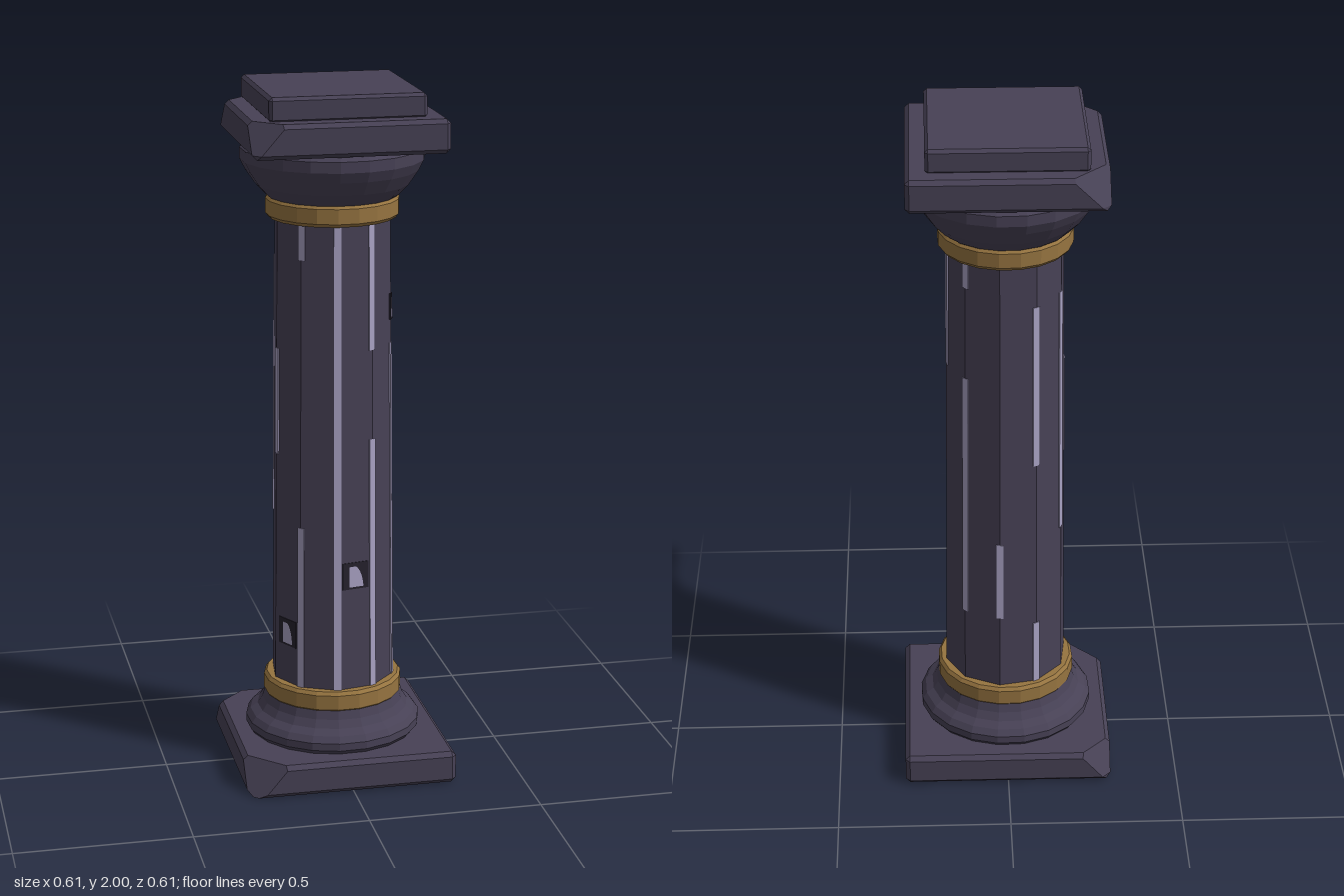
import * as THREE from 'three';
import { ConvexGeometry } from 'three/addons/geometries/ConvexGeometry.js';

const rad = THREE.MathUtils.degToRad;

function material(name, color, side = THREE.FrontSide) {
  const m = new THREE.MeshStandardMaterial({ color, side });
  m.name = name;
  return m;
}

// Faceted ring-shaped part turned from a profile of [radius, height]
function turned(profile, sides, startDeg = -7) {
  const pts = profile.map(([r, y]) => new THREE.Vector2(r, y));
  const g = new THREE.LatheGeometry(pts, sides, rad(startDeg)).toNonIndexed();
  g.computeVertexNormals();
  return g;
}

// Bevelled square slab; chips lists the cut size [bottom, top] for single corners
function slab(h, y0, y1, bevel, chips = {}) {
  const rows = [[y0, bevel], [y0 + bevel, 0], [y1 - bevel, 0], [y1, bevel]];
  const pts = [];
  for (const sx of [-1, 1]) for (const sz of [-1, 1]) {
    const [low, high] = chips[`${sx},${sz}`] || [bevel, bevel];
    for (const [y, inset] of rows) {
      const t = (y - y0) / (y1 - y0);
      const cut = Math.max(0, low + (high - low) * t - 2 * inset);
      const e = h - inset;
      pts.push(new THREE.Vector3(sx * e, y, sz * (e - cut)));
      if (cut > 0) pts.push(new THREE.Vector3(sx * (e - cut), y, sz * e));
    }
  }
  return new ConvexGeometry(pts);
}

// Removes the flat underside of a faceted geometry
function openBelow(g) {
  const p = g.attributes.position, n = g.attributes.normal;
  const pos = [];
  for (let i = 0; i < p.count; i += 3) {
    if (n.getY(i) < -0.99) continue;
    for (let k = i; k < i + 3; k++) pos.push(p.getX(k), p.getY(k), p.getZ(k));
  }
  const out = new THREE.BufferGeometry();
  out.setAttribute('position', new THREE.Float32BufferAttribute(pos, 3));
  out.computeVertexNormals();
  return out;
}

export function createModel() {
  const model = new THREE.Group();
  model.name = 'column';
  const stone = material('dark stone', 0x474155, THREE.DoubleSide);
  const gold = material('gold', 0x967440);
  const worn = material('worn edge', 0xa9a2c4);
  const hollow = material('hollow', 0x25212d);

  const add = (name, geometry, mat, parent = model) => {
    const mesh = new THREE.Mesh(geometry, mat);
    mesh.name = name;
    parent.add(mesh);
    return mesh;
  };

  // Square slabs, chipped on the right-hand corners
  add('plinth', openBelow(slab(0.304, 0, 0.095, 0.013,
    { '-1,1': [0.04, 0.12], '-1,-1': [0.013, 0.095] })), stone);
  add('abacus', slab(0.273, 1.84, 1.935, 0.012,
    { '-1,1': [0.012, 0.095], '-1,-1': [0.012, 0.11] }), stone);
  add('topSlab', slab(0.219, 1.93, 2, 0.009), stone);

  // Turned mouldings
  add('baseMoulding', turned([[0.245, 0.094], [0.256, 0.108], [0.256, 0.13], [0.243, 0.148],
    [0.222, 0.163], [0.208, 0.185], [0.2, 0.21]], 20), stone);
  add('capitalMoulding', turned([[0.17, 1.68], [0.19, 1.695], [0.218, 1.725], [0.245, 1.765],
    [0.26, 1.795], [0.26, 1.826], [0.25, 1.837], [0.2, 1.845]], 20), stone);

  // Gold bands
  const band = (r, y0, y1) => turned([[0.15, y0], [r - 0.008, y0], [r, y0 + 0.01],
    [r, y1 - 0.01], [r - 0.008, y1], [0.15, y1]], 20);
  add('lowerBand', band(0.202, 0.203, 0.266), gold);
  add('upperBand', band(0.189, 1.63, 1.692), gold);

  // Ten-sided tapering shaft
  const Y0 = 0.25, Y1 = 1.64, R0 = 0.181, R1 = 0.167;
  add('shaft', turned([[R0, Y0], [R1, Y1]], 10), stone);
  const radiusAt = (y) => R0 + (R1 - R0) * (y - Y0) / (Y1 - Y0);
  const lean = -Math.atan((R0 - R1) / (Y1 - Y0));

  // Places an object on the shaft, facing outward
  const onShaft = (obj, deg, y, r) => {
    const a = rad(deg);
    obj.rotation.order = 'YXZ';
    obj.rotation.set(lean, a, 0);
    obj.position.set(r * Math.sin(a), y, r * Math.cos(a));
  };

  // Worn strips along the shaft corners: angle, then [bottom, top] spans
  const strips = [
    [-7, [0.26, 1.635]],
    [29, [0.26, 1.01], [1.27, 1.635]],
    [65, [0.26, 1.27]],
    [101, [1.27, 1.635]],
    [137, [0.5, 1.27], [1.55, 1.635]],
    [173, [0.5, 0.75]],
    [209, [0.26, 0.47], [1, 1.5]],
    [245, [0.75, 1.51]],
    [281, [0.95, 1.26]],
    [317, [0.26, 0.75], [1.53, 1.635]],
  ];
  for (const [deg, ...spans] of strips) for (const [a, b] of spans) {
    const y = (a + b) / 2;
    const strip = add('wornEdge', new THREE.BoxGeometry(0.021, b - a, 0.009), worn);
    onShaft(strip, deg, y, radiusAt(y) - 0.0045);
  }

  // Small gouges: dark recess with a pale broken facet
  const gouge = (deg, y, w, h, apothem) => {
    const g = new THREE.Group();
    g.name = 'gouge';
    add('recess', new THREE.BoxGeometry(w, h, 0.006), hollow, g);
    const s = new THREE.Shape();
    s.moveTo(-0.25 * w, 0.35 * h);
    s.lineTo(-0.25 * w, -0.42 * h);
    s.lineTo(0.3 * w, -0.42 * h);
    s.quadraticCurveTo(0.25 * w, 0.15 * h, 0.02 * w, 0.35 * h);
    add('brokenFacet', new THREE.ShapeGeometry(s), worn, g).position.z = 0.004;
    onShaft(g, deg, y, radiusAt(y) * apothem - 0.001);
    model.add(g);
  };
  const faceMiddle = Math.cos(rad(18));
  gouge(11, 0.61, 0.08, 0.08, faceMiddle);
  gouge(-61, 0.42, 0.075, 0.08, faceMiddle);
  gouge(65, 1.375, 0.02, 0.075, 1);

  return model;
}
